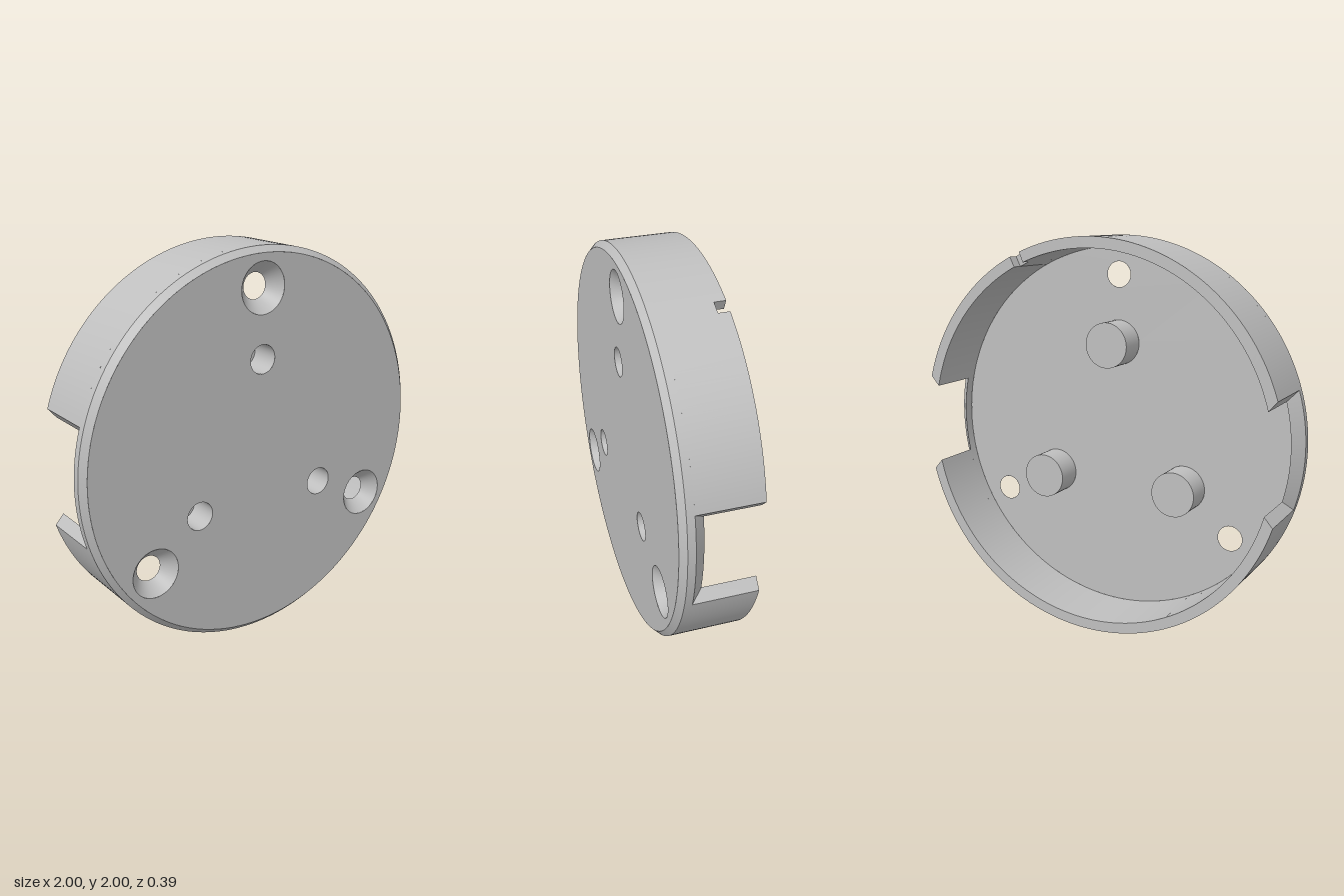
import * as THREE from 'three';

const FRONT = 0.193, CHAMFER = 0.163, SILL = 0.125, LEDGE = 0.07, FLOOR = 0.122, BACK = -0.193;
const R = 1, R_FACE = 0.97, R_IN = 0.945;
const SCREW_R = 0.065, SINK_R = 0.127, PEG_R = 0.115, BORE_R = 0.073;
const PEG_END = -0.02, BORE_END = 0.035;
const screws = [[0, 0.805], [0.695, -0.41], [-0.635, -0.495]];
const pegs = [[0, 0.46], [0.376, -0.265], [-0.376, -0.265]];

export function createModel() {
  const model = new THREE.Group();
  const grey = new THREE.MeshStandardMaterial({ color: 0xbfbfbf, side: THREE.DoubleSide });
  grey.name = 'plain grey';

  const add = (name, geometry, x = 0, y = 0, z = 0) => {
    const mesh = new THREE.Mesh(geometry, grey);
    mesh.name = name;
    mesh.position.set(x, y + 1, z);
    model.add(mesh);
  };

  // Open band around the z axis, from radius r0 at z0 (front) to r1 at z1
  const band = (name, r0, z0, r1, z1, x = 0, y = 0, n = 48) => {
    const g = new THREE.CylinderGeometry(r0, r1, z0 - z1, n, 1, true).rotateX(Math.PI / 2);
    add(name, g, x, y, (z0 + z1) / 2);
  };

  // Flat disc with round holes
  const plate = (name, r, z, holes) => {
    const shape = new THREE.Shape().absarc(0, 0, r, 0, Math.PI * 2);
    for (const [x, y, hr] of holes) {
      shape.holes.push(new THREE.Path().absarc(x, y, hr, 0, Math.PI * 2, true));
    }
    const g = new THREE.ShapeGeometry(shape, 64);
    // floor faces the back
    if (z < FRONT) {
      const i = g.index.array;
      for (let k = 0; k < i.length; k += 3) [i[k], i[k + 1]] = [i[k + 1], i[k]];
      g.computeVertexNormals();
    }
    add(name, g, 0, 0, z);
  };

  // Surface between two curves p(t) and q(t)
  const strip = (name, p, q, n) => {
    const pos = [], index = [];
    for (let i = 0; i <= n; i++) {
      pos.push(...p(i / n), ...q(i / n));
      const k = i * 2;
      if (i < n) index.push(k, k + 2, k + 1, k + 1, k + 2, k + 3);
    }
    const g = new THREE.BufferGeometry();
    g.setAttribute('position', new THREE.Float32BufferAttribute(pos, 3));
    g.setIndex(index);
    g.computeVertexNormals();
    add(name, g);
  };

  // Base: bevelled face, edge, sloping sill, low inner wall and recessed floor
  plate('frontFace', R_FACE, FRONT,
    [...screws.map(p => [...p, SINK_R]), ...pegs.map(p => [...p, BORE_R])]);
  plate('floor', R_IN, FLOOR,
    [...screws.map(p => [...p, SCREW_R]), ...pegs.map(p => [...p, PEG_R])]);
  band('frontBevel', R_FACE, FRONT, R, CHAMFER, 0, 0, 192);
  band('baseEdge', R, CHAMFER, R, SILL, 0, 0, 192);
  band('notchSill', R, SILL, R_IN, LEDGE, 0, 0, 192);
  band('baseInner', R_IN, FLOOR, R_IN, LEDGE, 0, 0, 192);

  // Countersunk screw holes
  for (const [x, y] of screws) band('countersink', SINK_R, FRONT, SCREW_R, FLOOR, x, y);

  // Hollow pegs, bored from the front
  for (const [x, y] of pegs) {
    band('pegSide', PEG_R, FLOOR, PEG_R, PEG_END, x, y);
    add('pegEnd', new THREE.CircleGeometry(PEG_R, 48).rotateY(Math.PI), x, y, PEG_END);
    band('pegBore', BORE_R, FRONT, BORE_R, BORE_END, x, y);
    add('boreEnd', new THREE.CircleGeometry(BORE_R, 48), x, y, BORE_END);
  }

  // Wall segment between two ends, each given as [outer angle, inner angle]
  const wall = (a, b, back) => {
    const curve = (r, z, k) => t => {
      const angle = a[k] + (b[k] - a[k]) * t;
      return [r * Math.cos(angle), r * Math.sin(angle), z];
    };
    const n = Math.max(2, Math.ceil((b[0] - a[0]) * 32));
    const outFront = curve(R, SILL, 0), outBack = curve(R, back, 0);
    const inFront = curve(R_IN, LEDGE, 1), inBack = curve(R_IN, back, 1);
    strip('wallOuter', outBack, outFront, n);
    strip('wallRim', inBack, outBack, n);
    strip('wallInner', inFront, inBack, n);
    for (const t of [0, 1]) {
      const lerp = (p, q) => s => p(t).map((v, i) => v + (q(t)[i] - v) * s);
      const p = lerp(outFront, outBack), q = lerp(inFront, inBack);
      if (t) strip('wallEnd', p, q, 1);
      else strip('wallEnd', q, p, 1);
    }
  };

  // Tapered side notches, the one on -x slightly taller
  const taper = (outer, inner) => [Math.asin(outer / R), Math.asin(inner / R_IN)];
  const left = taper(0.255, 0.205), right = taper(0.295, 0.245);
  const slot = Math.acos(0.42);
  const s0 = [slot - 0.03, slot - 0.03], s1 = [slot + 0.03, slot + 0.03];
  wall(left, s0, BACK);
  wall(s0, s1, -0.137);
  wall(s1, right.map(v => Math.PI - v), BACK);
  wall(right.map(v => Math.PI + v), left.map(v => 2 * Math.PI - v), BACK);

  return model;
}
